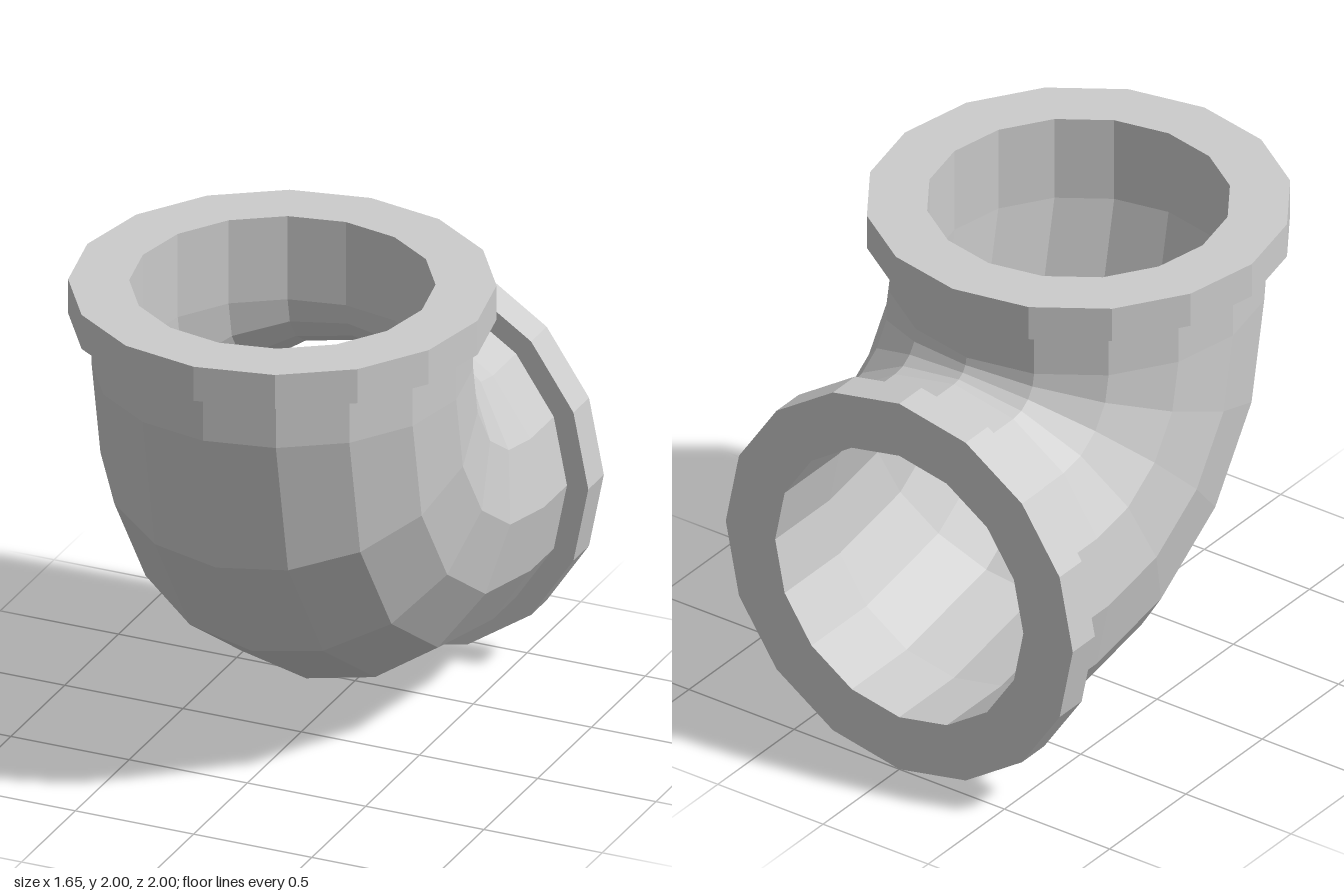
import * as THREE from 'three';

const SIDES = 16, BEND_STEPS = 4;
const BEND = 0.815;                  // radius of the bend's centre line
const BEND_Y = 1.645, BEND_Z = -0.64; // centre of the bend
const OUTER = 0.735, INNER = 0.59, FLANGE = 0.825, THICK = 0.145;

// Sweeps a round section down from the top mouth, round the bend and out to the back.
function elbow(radius, inward) {
  const stations = [{ a: 0, y: 2 - BEND_Y, z: 0 }];
  for (let i = 0; i <= BEND_STEPS; i++) stations.push({ a: (i / BEND_STEPS) * Math.PI / 2, y: 0, z: 0 });
  stations.push({ a: Math.PI / 2, y: 0, z: -1 - BEND_Z });

  const pos = [], index = [];
  for (const s of stations) {
    for (let j = 0; j < SIDES; j++) {
      const t = (j / SIDES) * Math.PI * 2;
      const d = BEND + radius * Math.cos(t);
      pos.push(radius * Math.sin(t), BEND_Y + s.y - d * Math.sin(s.a), BEND_Z + s.z + d * Math.cos(s.a));
    }
  }
  for (let i = 0; i < stations.length - 1; i++) {
    for (let j = 0; j < SIDES; j++) {
      const k = (j + 1) % SIDES;
      const a = i * SIDES + j, b = i * SIDES + k, c = a + SIDES, d = b + SIDES;
      if (inward) index.push(a, b, c, b, d, c);
      else index.push(a, c, b, b, c, d);
    }
  }
  const g = new THREE.BufferGeometry();
  g.setAttribute('position', new THREE.Float32BufferAttribute(pos, 3));
  g.setIndex(index);
  const flat = g.toNonIndexed();
  flat.computeVertexNormals();
  return flat;
}

export function createModel() {
  const model = new THREE.Group();
  model.name = 'pipeElbow';
  const metal = new THREE.MeshStandardMaterial({ color: 0xcccccc });
  metal.name = 'light grey metal';
  metal.flatShading = true;

  const add = (geometry, name) => {
    const mesh = new THREE.Mesh(geometry, metal);
    mesh.name = name;
    model.add(mesh);
    return mesh;
  };

  // Pipe wall, outside and inside
  add(elbow(OUTER, false), 'outerPipe');
  add(elbow(INNER, true), 'innerBore');

  // Flange rings at both mouths
  const profile = [[OUTER - 0.02, 0], [FLANGE, 0], [FLANGE, THICK], [INNER, THICK]]
    .map(([x, y]) => new THREE.Vector2(x, y));
  const ring = new THREE.LatheGeometry(profile, SIDES);
  add(ring, 'topFlange').position.set(0, 2 - THICK, BEND_Z + BEND);
  const back = add(ring, 'backFlange');
  back.rotation.x = -Math.PI / 2;
  back.position.set(0, BEND_Y - BEND, -1 + THICK);

  return model;
}
